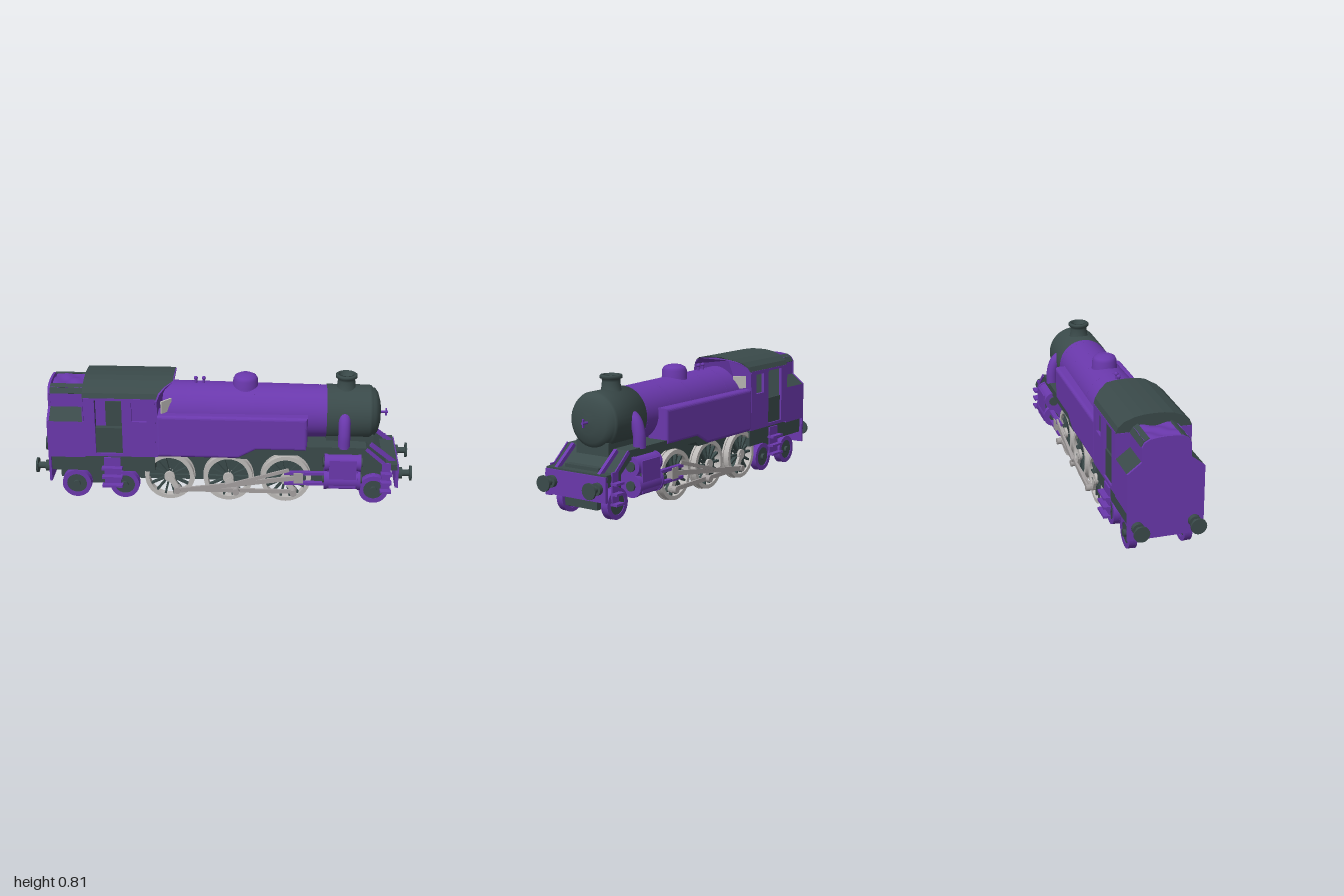
import * as THREE from 'three';

const material = (name, color, side = THREE.FrontSide) => {
  const m = new THREE.MeshStandardMaterial({ color, side });
  m.name = name;
  return m;
};

export function createModel() {
  const purple = material('purple paint', 0x6a38ac);
  const dark = material('dark green grey', 0x3a4a4a);
  const steel = material('light steel', 0xbdbab8);
  const rodGrey = material('rod grey', 0xa39f9f);

  // Built with the nose along +x, then turned on the diagonal.
  const engine = new THREE.Group();
  engine.name = 'tankEngine';

  const add = (name, geo, mat, x = 0, y = 0, z = 0, parent = engine) => {
    const m = new THREE.Mesh(geo, mat);
    m.name = name;
    m.position.set(x, y, z);
    parent.add(m);
    return m;
  };
  const box = (name, mat, x, y, z, lx, ly, lz, parent) =>
    add(name, new THREE.BoxGeometry(lx, ly, lz), mat, x, y, z, parent);
  const cyl = (name, mat, axis, x, y, z, r, len, r2 = r, seg = 32, parent = engine) => {
    const g = new THREE.CylinderGeometry(r2, r, len, seg);
    if (axis === 'x') g.rotateZ(-Math.PI / 2);
    if (axis === 'z') g.rotateX(Math.PI / 2);
    return add(name, g, mat, x, y, z, parent);
  };
  const lathe = (name, mat, pts, x, y, z, alongX) => {
    const g = new THREE.LatheGeometry(pts.map(p => new THREE.Vector2(...p)), 40);
    if (alongX) g.rotateZ(-Math.PI / 2);
    return add(name, g, mat, x, y, z);
  };
  const outline = pts => new THREE.Shape(pts.map(p => new THREE.Vector2(...p)));
  // Side profile (x, y) extruded across the engine
  const profile = (name, mat, pts, z, depth, holes = [], bevel = 0) => {
    const s = outline(pts);
    holes.forEach(([a, b, c, d]) => s.holes.push(outline([[a, b], [a, d], [c, d], [c, b]])));
    const g = new THREE.ExtrudeGeometry(s, {
      depth: depth - 2 * bevel, bevelEnabled: bevel > 0, bevelSize: bevel,
      bevelThickness: bevel, bevelOffset: -bevel, bevelSegments: 4 });
    return add(name, g, mat, 0, 0, z + bevel);
  };
  // Cross-section (half width, y), mirrored and extruded along the engine
  const section = (name, mat, half, x0, x1, bulge) => {
    const pts = [...half, ...half.filter(p => p[0] > 0).reverse().map(([w, y]) => [-w, y])];
    const g = new THREE.ExtrudeGeometry(outline(pts), { depth: x1 - x0, bevelEnabled: false });
    g.rotateY(Math.PI / 2).translate(x0, 0, 0);
    if (bulge) {
      const p = g.attributes.position;
      for (let i = 0; i < p.count; i++)
        if (p.getX(i) > bulge) p.setX(i, p.getX(i) + 0.1 * Math.min(1, (0.23 - Math.abs(p.getZ(i))) / 0.11));
      g.computeVertexNormals();
    }
    return add(name, g, mat);
  };
  const rod = (name, mat, x0, y0, x1, y1, z, h, t) => {
    const m = box(name, mat, (x0 + x1) / 2, (y0 + y1) / 2, z, Math.hypot(x1 - x0, y1 - y0), h, t);
    m.rotation.z = Math.atan2(y1 - y0, x1 - x0);
    return m;
  };
  const ring = (outer, inner, depth) => {
    const s = new THREE.Shape().absarc(0, 0, outer, 0, Math.PI * 2);
    s.holes.push(new THREE.Path().absarc(0, 0, inner, 0, Math.PI * 2, true));
    return new THREE.ExtrudeGeometry(s, { depth, bevelEnabled: false, curveSegments: 40 })
      .translate(0, 0, -depth / 2);
  };

  // Frames and footplate
  box('mainFrame', dark, 0, 0.21, 0, 2.1, 0.2, 0.25);
  box('rearFrame', dark, -0.76, 0.255, 0, 0.66, 0.11, 0.42);
  box('rearBogieFrame', dark, -0.78, 0.1, 0, 0.42, 0.07, 0.24);
  box('leadingTruck', dark, 0.95, 0.1, 0, 0.22, 0.07, 0.24);
  profile('footplate', dark, [[0.08, 0.31], [0.19, 0.4], [0.9, 0.4], [1.03, 0.29], [1.1, 0.29],
    [1.1, 0.25], [1, 0.25], [0.88, 0.34], [0.22, 0.34], [0.19, 0.31]], -0.225, 0.45);
  box('smokeboxSaddle', dark, 0.8, 0.36, 0, 0.3, 0.16, 0.24);
  box('frontBufferBeam', purple, 1.1, 0.205, 0, 0.02, 0.15, 0.45);

  // Boiler, bands, smokebox and mountings
  cyl('boiler', purple, 'x', 0.14, 0.555, 0, 0.18, 1.04, 0.166, 48);
  [-0.22, -0.03, 0.18, 0.4, 0.62].forEach(x =>
    cyl('boilerBand', purple, 'x', x, 0.555, 0, 0.1805 - (x + 0.38) * 0.0135, 0.025, undefined, 48));
  lathe('smokebox', dark, [[0, 0], [0.172, 0], [0.172, 0.27], [0.165, 0.285], [0.155, 0.29],
    [0.152, 0.305], [0.125, 0.325], [0.07, 0.34], [0, 0.345]], 0.65, 0.555, 0, true);
  cyl('doorHandle', purple, 'x', 1.01, 0.555, 0, 0.008, 0.06);
  rod('doorHandleBar', purple, 1.03, 0.53, 1.03, 0.58, 0, 0.01, 0.01);
  lathe('chimney', dark, [[0.1, -0.05], [0.085, -0.02], [0.06, 0.02], [0.054, 0.07], [0.056, 0.085],
    [0.068, 0.09], [0.068, 0.105], [0.062, 0.11], [0.045, 0.11], [0.04, 0.06], [0, 0.06]], 0.77, 0.7, 0);
  lathe('steamDome', purple, [[0.1, -0.03], [0.085, -0.005], [0.08, 0.02], [0.078, 0.065],
    [0.068, 0.085], [0.045, 0.097], [0, 0.1]], 0.135, 0.7, 0);
  [-0.18, -0.13].forEach(x => {
    cyl('safetyValve', purple, 'y', x, 0.74, 0, 0.009, 0.04, 0.009, 12);
    add('safetyValveCap', new THREE.SphereGeometry(0.013, 12, 8), purple, x, 0.763, 0);
  });

  // Cab shell
  const roofTop = [[0.23, 0.7], [0.215, 0.735], [0.18, 0.765], [0.12, 0.788], [0.06, 0.798], [0, 0.8]];
  section('cabRoof', dark, [...roofTop, [0, 0.785], [0.12, 0.77], [0.2, 0.72], [0.21, 0.69], [0.23, 0.69]]
    .slice(0, 6).concat([]), -0.875, -0.415, -0.45).scale.set(1, 1, 1);
  section('cabFront', purple, [[0.228, 0.31], [0.228, 0.69], [0.21, 0.73], [0.175, 0.762],
    [0.115, 0.784], [0, 0.795]], -0.43, -0.41, -0.44);
  section('cabFrontLining', dark, [[0.205, 0.31], [0.205, 0.7], [0, 0.7]], -0.44, -0.432);
  section('cabRearWall', purple, [[0.228, 0.31], [0.228, 0.7], [0, 0.7]], -0.88, -0.872);
  section('cabRearLining', dark, [[0.205, 0.31], [0.205, 0.7], [0, 0.7]], -0.872, -0.866);
  box('cabFloor', dark, -0.65, 0.315, 0, 0.44, 0.02, 0.42);

  // Bunker
  section('bunker', purple, [[0.23, 0.3], [0.23, 0.545], [0, 0.545]], -1.09, -0.87);
  section('bunkerShoulder', dark, [[0.23, 0.545], [0.144, 0.61], [0, 0.61]], -1.09, -0.88);
  section('bunkerUpper', purple, [[0.144, 0.61], [0.144, 0.7], [0, 0.7]], -1.09, -0.88);
  section('bunkerBackPlate', purple, [[0.23, 0.13], [0.23, 0.547], [0.146, 0.612], [0.146, 0.7],
    [0.13, 0.728], [0.1, 0.745], [0.05, 0.753], [0, 0.755]], -1.105, -1.09);
  const coal = new THREE.PlaneGeometry(0.2, 0.26, 12, 12).rotateX(-Math.PI / 2);
  for (let i = 0, p = coal.attributes.position; i < p.count; i++)
    p.setY(i, 0.008 * Math.sin(p.getX(i) * 45) * Math.cos(p.getZ(i) * 38));
  coal.computeVertexNormals();
  add('coalLoad', coal, purple, -0.985, 0.735, 0);

  // Buffers at both ends
  for (const e of [-1, 1]) for (const s of [-1, 1]) {
    cyl('bufferBase', dark, 'x', e * 1.115, 0.21, s * 0.17, 0.036, 0.04);
    cyl('bufferShank', dark, 'x', e * 1.155, 0.21, s * 0.17, 0.02, 0.06);
    cyl('bufferHead', dark, 'x', e * 1.189, 0.21, s * 0.17, 0.048, 0.012);
  }

  // Wheels
  const driver = (x, s) => {
    const g = new THREE.Group();
    g.name = 'drivingWheel';
    g.position.set(x, 0.162, s * 0.178);
    engine.add(g);
    add('tyre', ring(0.156, 0.13, 0.045), steel, 0, 0, 0, g);
    add('flange', ring(0.162, 0.13, 0.012), steel, 0, 0, -s * 0.02, g);
    for (let i = 0; i < 7; i++)
      box('spokes', dark, 0, 0, 0, 0.27, 0.013, 0.022, g).rotation.z = i * Math.PI / 7;
    cyl('hub', steel, 'z', 0, 0, 0, 0.034, 0.055, 0.034, 24, g);
    box('crank', steel, 0.025, -0.04, s * 0.02, 0.035, 0.09, 0.02, g).rotation.z = 0.5;
    cyl('crankPin', rodGrey, 'z', 0.05, -0.08, s * 0.04, 0.022, 0.06, 0.022, 20, g);
  };
  const carrier = (x, s) => {
    add('carryingWheelRim', ring(0.093, 0.064, 0.04), purple, x, 0.095, s * 0.172);
    add('carryingWheelFlange', ring(0.095, 0.07, 0.01), purple, x, 0.095, s * 0.15);
    cyl('carryingWheelCentre', dark, 'z', x, 0.095, s * 0.172, 0.066, 0.03);
    cyl('axleEnd', dark, 'z', x, 0.095, s * 0.19, 0.022, 0.03);
  };

  for (const s of [-1, 1]) {
    // Cab side with doorway and window
    profile('cabSide', purple, [[-0.87, 0.31], [-0.42, 0.31], [-0.42, 0.705], [-0.87, 0.705]],
      s * 0.22 - 0.01, 0.02, [[-0.8, 0.33, -0.63, 0.69], [-0.57, 0.55, -0.475, 0.68]]);
    box('cabDoor', dark, -0.715, 0.41, s * 0.212, 0.17, 0.18, 0.012);
    box('frontWindow', steel, -0.356, 0.64, s * 0.172, 0.012, 0.08, 0.085).rotation.y = -s * 0.738;

    // Side tank and bunker trim
    profile('sideTank', purple, [[-0.42, 0.31], [0.1, 0.31], [0.21, 0.37], [0.53, 0.37],
      [0.53, 0.592], [-0.42, 0.592]], s * 0.155 - 0.075, 0.15, [], 0.02);
    for (const [w, y, a] of [[0.135, 0.713, 1.05], [0.112, 0.736, 0.5]])
      box('bunkerTrim', dark, -0.985, y, s * w, 0.21, 0.012, 0.036).rotation.x = s * a;

    [-0.34, 0.035, 0.4].forEach(x => driver(x, s));
    [-0.94, -0.63, 0.96].forEach(x => carrier(x, s));

    // Rods and motion
    rod('couplingRod', rodGrey, -0.31, 0.082, 0.47, 0.082, s * 0.215, 0.026, 0.014);
    rod('connectingRod', rodGrey, -0.29, 0.082, 0.5, 0.195, s * 0.236, 0.03, 0.014);
    rod('valveRod', rodGrey, 0.02, 0.13, 0.42, 0.25, s * 0.25, 0.022, 0.012);
    box('crosshead', rodGrey, 0.48, 0.195, s * 0.235, 0.06, 0.07, 0.04);
    [0.155, 0.225].forEach(y => box('slideBar', purple, 0.52, y, s * 0.235, 0.26, 0.018, 0.03));

    // Cylinders with steam pipe
    box('cylinderBlock', purple, 0.755, 0.24, s * 0.19, 0.19, 0.2, 0.12);
    for (const [y, r] of [[0.185, 0.066], [0.3, 0.055]]) {
      cyl('cylinder', purple, 'x', 0.755, y, s * 0.22, r, 0.2);
      [0.65, 0.86].forEach(x => cyl('cylinderCover', purple, 'x', x, y, s * 0.22, r + 0.004, 0.018));
      cyl('coverBoss', dark, 'x', 0.755, y, s * 0.22, 0.03, 0.25);
    }
    box('cylinderCladding', dark, 0.755, 0.245, s * 0.25, 0.14, 0.15, 0.055);
    box('cylinderPanel', purple, 0.755, 0.24, s * 0.277, 0.17, 0.19, 0.01);
    const pipe = new THREE.CatmullRomCurve3([[0.39, 0.2], [0.48, 0.195], [0.55, 0.17], [0.59, 0.12]]
      .map(([y, w]) => new THREE.Vector3(0.76, y, s * w)));
    add('steamPipe', new THREE.TubeGeometry(pipe, 16, 0.038, 16), purple);

    // Steps and front braces
    for (const [x, l] of [[-0.7, 0.13], [1.03, 0.07]]) {
      box('stepPlate', purple, x, 0.205, s * 0.228, l * 0.8, 0.19, 0.01);
      [0.115, 0.175, 0.235].forEach(y => box('stepTread', purple, x, y, s * 0.247, l, 0.014, 0.045));
    }
    rod('frontBrace', purple, 0.93, 0.4, 1.09, 0.275, s * 0.16, 0.025, 0.022);
    rod('footplateEdge', purple, 0.9, 0.395, 1.035, 0.28, s * 0.228, 0.022, 0.008);
  }

  engine.rotation.y = Math.PI / 4;
  const model = new THREE.Group();
  model.name = 'model';
  model.add(engine);
  return model;
}
